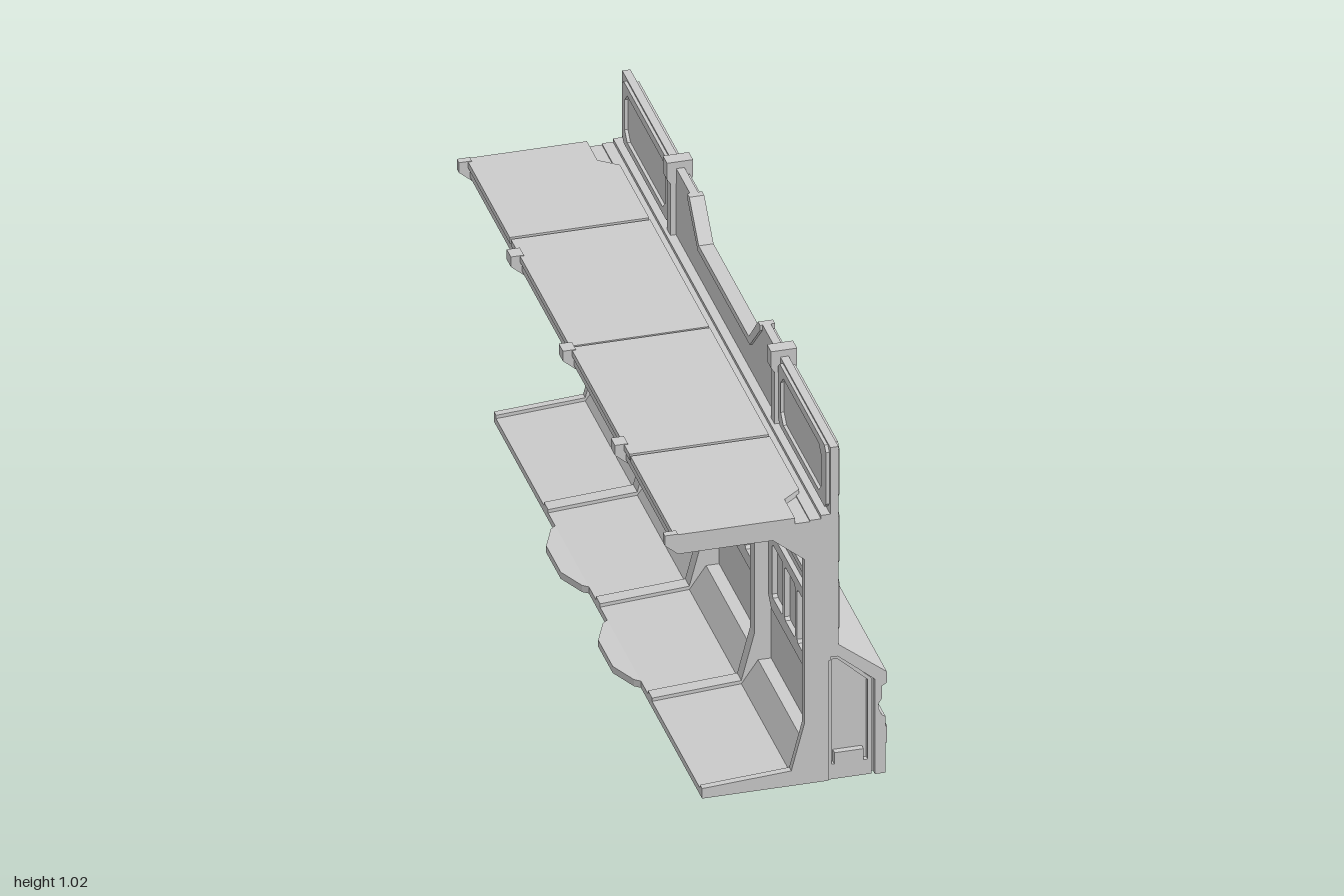
import * as THREE from 'three';

const mat = new THREE.MeshStandardMaterial({ color: 0xcccccc, flatShading: true, side: THREE.DoubleSide });

function outline(pts, holes = []) {
  const toV = ([a, b]) => new THREE.Vector2(a, b);
  const s = new THREE.Shape(pts.map(toV));
  holes.forEach(h => s.holes.push(new THREE.Path(h.map(toV))));
  return s;
}
const extrude = (shape, depth) => new THREE.ExtrudeGeometry(shape, { depth, bevelEnabled: false });

// rectangle with cut corners
function cutRect(a0, a1, b0, b1, c) {
  return [[a0 + c, b0], [a1 - c, b0], [a1, b0 + c], [a1, b1 - c], [a1 - c, b1], [a0 + c, b1], [a0, b1 - c], [a0, b0 + c]];
}

export function createModel() {
  const root = new THREE.Group();
  const add = (name, geo, parent = root) => {
    const m = new THREE.Mesh(geo, mat);
    m.name = name;
    parent.add(m);
    return m;
  };
  const group = name => {
    const g = new THREE.Group();
    g.name = name;
    root.add(g);
    return g;
  };
  // x-y section run along z
  const prism = (name, pts, z0, z1, parent, holes) =>
    add(name, extrude(outline(pts, holes), z1 - z0).translate(0, 0, z0), parent);
  // z-y outline with thickness in x
  const plate = (name, pts, x0, x1, parent, holes = []) => {
    const flip = p => p.map(([z, y]) => [-z, y]);
    const g = extrude(outline(flip(pts), holes.map(flip)), Math.abs(x1 - x0));
    return add(name, g.rotateY(Math.PI / 2).translate(Math.min(x0, x1), 0, 0), parent);
  };
  // x-z outline with thickness in y
  const slab = (name, pts, y0, y1, parent) => {
    const g = extrude(outline(pts.map(([x, z]) => [x, -z])), y1 - y0);
    return add(name, g.rotateX(-Math.PI / 2).translate(0, y0, 0), parent);
  };
  const box = (name, x0, x1, y0, y1, z0, z1, parent) =>
    add(name, new THREE.BoxGeometry(x1 - x0, y1 - y0, z1 - z0)
      .translate((x0 + x1) / 2, (y0 + y1) / 2, (z0 + z1) / 2), parent);

  // main wall with dropped middle parapet
  const notch = [[0.33, 1], [0.24, 0.905], [-0.24, 0.905], [-0.33, 1]];
  plate('upperWall', [[-1, 0.37], [1, 0.37], [1, 1], ...notch, [-1, 1]], 0.145, 0.167);
  box('lowerWall', 0.12, 0.14, 0, 0.8, -1, 1);
  box('wallCore', 0.139, 0.146, 0.36, 0.8, -1, 1);
  const inner = [[-0.31, 1], [-0.23, 0.885], [0.23, 0.885], [0.31, 1]].reverse();
  plate('parapetRim', [[0.35, 1], ...notch, [-0.35, 1], [-0.35, 0.985], [-0.25, 0.885], [0.25, 0.885], [0.35, 0.985]], 0.138, 0.178);
  box('parapetRail', 0.165, 0.174, 0.845, 0.868, -0.24, 0.24);

  // raised panels with a cross pattern
  const panel = (zc, yc, w, h, x0, dir, parent) => {
    const z0 = zc - w / 2, z1 = zc + w / 2, y0 = yc - h / 2, y1 = yc + h / 2;
    plate('panelFrame', cutRect(z0, z1, y0, y1, 0.015), x0, x0 + dir * 0.011, parent,
      [cutRect(z0 + 0.018, z1 - 0.018, y0 + 0.018, y1 - 0.018, 0.012)]);
    for (const s of [-1, 1]) {
      const a = w * 0.36, b = h * 0.27;
      plate('panelCross', [[zc - a, yc - s * b], [zc - a + 0.03, yc - s * b], [zc + a, yc + s * b], [zc + a - 0.03, yc + s * b]],
        x0, x0 + dir * 0.006, parent);
      plate('panelChevron', [[zc + s * a, yc - b], [zc + s * (a + 0.01), yc - b], [zc + s * (a - 0.035), yc],
        [zc + s * (a + 0.01), yc + b], [zc + s * a, yc + b], [zc + s * (a - 0.05), yc]], x0, x0 + dir * 0.006, parent);
    }
  };
  const outerPanels = group('outerPanels');
  for (const zc of [-0.75, -0.25, 0.25, 0.75])
    for (const yc of [0.505, 0.705, 0.905])
      if (yc < 0.9 || Math.abs(zc) > 0.5) panel(zc, yc, 0.44, 0.165, 0.167, 1, outerPanels);
  for (const s of [-1, 1]) {
    const m = p => p.map(([z, y]) => [s * z, y]);
    plate('cornerPanel', m([[0.47, 0.83], [0.47, 0.985], [0.35, 0.985], [0.24, 0.87], [0.24, 0.83]]), 0.167, 0.178, outerPanels,
      [m([[0.45, 0.85], [0.45, 0.967], [0.36, 0.967], [0.27, 0.872], [0.27, 0.85]])]);
    plate('cornerInset', m([[0.42, 0.865], [0.42, 0.95], [0.37, 0.95], [0.3, 0.88], [0.3, 0.865]]), 0.167, 0.171, outerPanels);
  }

  // inner wall: cross panels above, three-window panels below, parapet frames on top
  const innerPanels = group('innerPanels');
  for (const zc of [-0.75, -0.25, 0.25, 0.75]) {
    panel(zc, 0.635, 0.41, 0.17, 0.12, -1, innerPanels);
    const windows = [-1, 0, 1].map(i => cutRect(zc + i * 0.12 - 0.05, zc + i * 0.12 + 0.05, 0.32, 0.48, 0.008));
    plate('windowPanel', cutRect(zc - 0.21, zc + 0.21, 0.28, 0.51, 0.03), 0.12, 0.106, innerPanels, windows);
    if (Math.abs(zc) > 0.5)
      plate('parapetFrame', cutRect(zc - 0.22, zc + 0.24 - (zc > 0 ? 0 : 0.02), 0.81, 0.995, 0.015), 0.145, 0.136, innerPanels,
        [cutRect(zc - 0.195, zc + 0.195, 0.83, 0.97, 0.025)]);
  }
  box('wallLedge', 0.09, 0.146, 0.765, 0.79, -1, 1);

  // five supporting ribs with foot and deck bracket
  const ribs = group('ribs');
  const ribPts = [[0.14, 0], [0.14, 0.785], [-0.28, 0.785], [-0.3, 0.775], [-0.265, 0.745], [-0.01, 0.745],
    [0.075, 0.675], [0.075, 0.18], [0.04, 0.045], [-0.2, 0.03], [-0.2, 0]];
  for (let i = -2; i <= 2; i++) {
    const z0 = Math.max(-1, i * 0.5 - 0.02), z1 = Math.min(1, i * 0.5 + 0.02);
    prism('rib', ribPts, z0, z1, ribs);
    box('deckClip', -0.3, -0.265, 0.775, 0.805, z0, z1, ribs);
  }

  // walkway deck in four sections with edge beams
  const deck = group('deck');
  const end = s => [[-0.275, s * 0.58], [-0.275, s], [0.05, s], [0.05, s * 0.9], [0.1, s * 0.86], [0.1, s * 0.58]];
  for (const s of [-1, 1]) {
    slab('deckEnd', end(s), 0.785, 0.803, deck);
    slab('deckMiddle', [[-0.275, s * 0.003], [-0.275, s * 0.57], [0.1, s * 0.57], [0.1, s * 0.003]], 0.785, 0.803, deck);
  }
  box('deckBase', -0.27, 0.14, 0.779, 0.786, -1, 1, deck);
  for (const x of [-0.27, -0.09, 0.06]) box('deckBeam', x, x + 0.025, 0.757, 0.78, -1, 1, deck);

  // floor with recessed underside and tongues in the middle bays
  const floor = group('floor');
  prism('floorSlab', [[0.12, 0.012], [0.12, 0.1], [0.085, 0.1], [0.04, 0.035], [-0.2, 0.02], [-0.2, 0.012]], -1, 1, floor);
  box('floorEdge', -0.2, -0.18, 0, 0.02, -1, 1, floor);
  box('floorHeel', 0.1, 0.14, 0, 0.02, -1, 1, floor);
  for (const s of [-1, 1])
    slab('floorTongue', [[-0.19, s * 0.08], [-0.215, s * 0.1], [-0.25, s * 0.18], [-0.25, s * 0.32], [-0.215, s * 0.4], [-0.19, s * 0.42]], 0, 0.02, floor);

  // stepped outer skirt, open underneath
  const skirt = group('skirt');
  prism('skirtShell', [[0.145, 0.405], [0.167, 0.405], [0.297, 0.303], [0.297, 0.27], [0.284, 0.262], [0.284, 0.225], [0.275, 0.21],
    [0.275, 0.195], [0.284, 0.175], [0.294, 0.168], [0.294, 0], [0.265, 0], [0.265, 0.285], [0.165, 0.37], [0.145, 0.37]], -1, 1, skirt);
  box('skirtSill', 0.27, 0.298, 0, 0.014, -0.98, 0.98, skirt);
  for (const s of [-1, 1]) {
    // end closures with a framed face and small step
    const e = group('endPanel');
    const face = [[0.14, 0], [0.14, 0.37], [0.168, 0.37], [0.257, 0.288], [0.257, 0]];
    const span = (a, b) => s > 0 ? [a, b] : [-b, -a];
    prism('endFace', [[0.14, 0.0], [0.14, 0.375], [0.17, 0.375], [0.268, 0.288], [0.268, 0]], ...span(0.965, 0.98), e);
    prism('endFrame', face, ...span(0.98, 0.995), e,
      [[[0.15, 0.045], [0.15, 0.36], [0.165, 0.36], [0.247, 0.284], [0.247, 0.045]]]);
    box('endStep', 0.157, 0.235, 0.04, 0.08, ...span(0.97, 0.998), e);
    box('endBracket', 0.28, 0.298, 0.09, 0.14, ...span(0.935, 1), e);
  }

  // vertical straps with caps, clamps and feet
  for (const z of [-0.5, 0.5]) {
    const g = group('strap');
    prism('strapBand', [[0.16, 1], [0.18, 1], [0.18, 0.41], [0.3, 0.315], [0.3, 0.262], [0.289, 0.25], [0.289, 0.18],
      [0.299, 0.17], [0.299, 0], [0.26, 0], [0.26, 0.28], [0.16, 0.38]], z - 0.017, z + 0.017, g);
    box('strapInner', 0.13, 0.15, 0.79, 1, z - 0.017, z + 0.017, g);
    prism('strapCap', [[0.12, 0.97], [0.12, 1.02], [0.19, 1.02], [0.19, 0.97], [0.18, 0.955], [0.13, 0.955]], z - 0.02, z + 0.02, g);
    const clamp = new THREE.Group();
    clamp.name = 'clamp';
    clamp.position.set(0.232, 0.358, z);
    clamp.rotation.z = -0.67;
    g.add(clamp);
    box('clampBar', -0.022, 0.022, -0.01, 0.016, -0.055, 0.055, clamp);
    box('clampBlock', -0.036, 0.036, -0.01, 0.022, -0.03, 0.03, clamp);
    box('clampLatch', -0.014, 0.014, 0.02, 0.03, -0.02, 0.02, clamp);
    for (const s of [-1, 1]) {
      box('strapFoot', 0.275, 0.298, 0, 0.05, z + s * 0.03 - 0.012, z + s * 0.03 + 0.012, g);
      box('strapToe', 0.275, 0.299, 0, 0.025, z + s * 0.06 - 0.015, z + s * 0.06 + 0.015, g);
    }
  }
  return root;
}
